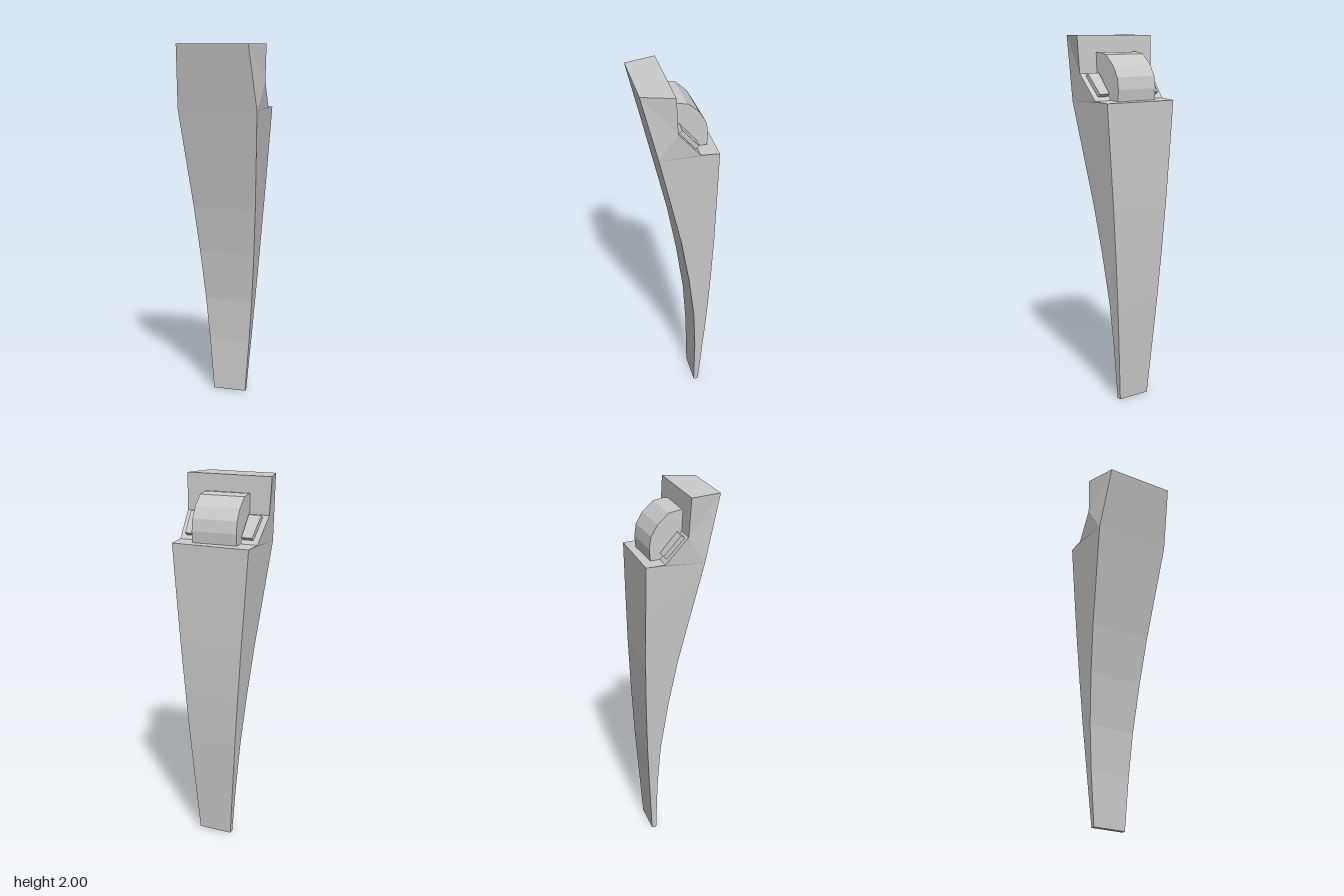
import * as THREE from 'three';

const material = new THREE.MeshStandardMaterial({ color: 0xcccccc, flatShading: true });

// Tapered post lofted through rows: front [z, y, halfWidth], back [z, y, halfWidth]
function postGeometry(rows) {
  const pos = [];
  const corners = rows.map(([f, b]) => [
    [-f[2], f[1], f[0]], [f[2], f[1], f[0]],
    [b[2], b[1], b[0]], [-b[2], b[1], b[0]],
  ]);
  const tri = (a, b, c) => pos.push(...a, ...b, ...c);
  for (let i = 0; i < corners.length - 1; i++) {
    const lo = corners[i], hi = corners[i + 1];
    for (let k = 0; k < 4; k++) {
      const n = (k + 1) % 4;
      if (k === 1) { // keep both flanks creased the same way
        tri(lo[k], lo[n], hi[k]);
        tri(lo[n], hi[n], hi[k]);
      } else {
        tri(lo[k], lo[n], hi[n]);
        tri(lo[k], hi[n], hi[k]);
      }
    }
  }
  const base = corners[0], top = corners[corners.length - 1];
  tri(base[0], base[2], base[1]);
  tri(base[0], base[3], base[2]);
  tri(top[0], top[1], top[2]);
  tri(top[0], top[2], top[3]);
  const g = new THREE.BufferGeometry();
  g.setAttribute('position', new THREE.Float32BufferAttribute(pos, 3));
  g.computeVertexNormals();
  return g;
}

function addMesh(parent, name, geometry) {
  const mesh = new THREE.Mesh(geometry, material);
  mesh.name = name;
  parent.add(mesh);
  return mesh;
}

export function createModel() {
  const model = new THREE.Group();
  model.name = 'taperedPost';

  // Curved lower post: [y, front z, back z]
  const rows = [
    [0, -0.12, -0.145], [0.3, -0.117, -0.164], [0.55, -0.103, -0.179],
    [0.83, -0.065, -0.19], [1.1, -0.016, -0.197], [1.37, 0.047, -0.199],
  ].map(([y, f, b]) => {
    const w = 0.095 + 0.077 * y;
    return [[f, y, w], [b, y, w]];
  });

  // Head with a notch cut into its back: flat ledge, slope, upright wall
  const shoulder = [0.113, 1.65, 0.222];
  rows.push(
    [shoulder, [-0.2, 1.655, 0.222]],
    [shoulder, [-0.1, 1.662, 0.226]],
    [shoulder, [0.018, 1.8, 0.24]],
    [[0.2, 2, 0.197], [0.03, 2, 0.248]],
  );
  addMesh(model, 'post', postGeometry(rows));

  // Rounded drum seated in the notch, turned very slightly
  const profile = [
    [0.028, 1.908], [0, 1.91], [-0.055, 1.9], [-0.115, 1.845], [-0.15, 1.785],
    [-0.16, 1.72], [-0.154, 1.655], [-0.1, 1.64], [0.028, 1.78],
  ].map(([z, y]) => new THREE.Vector2(-z, y));
  const drumGeometry = new THREE.ExtrudeGeometry(new THREE.Shape(profile), { depth: 0.255, bevelEnabled: false });
  drumGeometry.translate(0, 0, -0.1275).rotateY(Math.PI / 2);
  const drum = addMesh(model, 'drum', drumGeometry);
  drum.rotation.y = 0.03;

  // Tapered pads lying on the slope either side of the drum
  for (const side of [1, -1]) {
    const g = new THREE.BoxGeometry(0.073, 0.14, 0.03);
    const p = g.attributes.position;
    for (let i = 0; i < p.count; i++) {
      if (p.getX(i) * side > 0 && p.getY(i) < 0) p.setX(i, p.getX(i) - side * 0.012);
    }
    g.computeVertexNormals();
    const pad = addMesh(model, side > 0 ? 'leftPad' : 'rightPad', g);
    pad.position.set(side * 0.171, 1.74, -0.0435);
    pad.rotation.x = 0.708;
  }
  return model;
}
